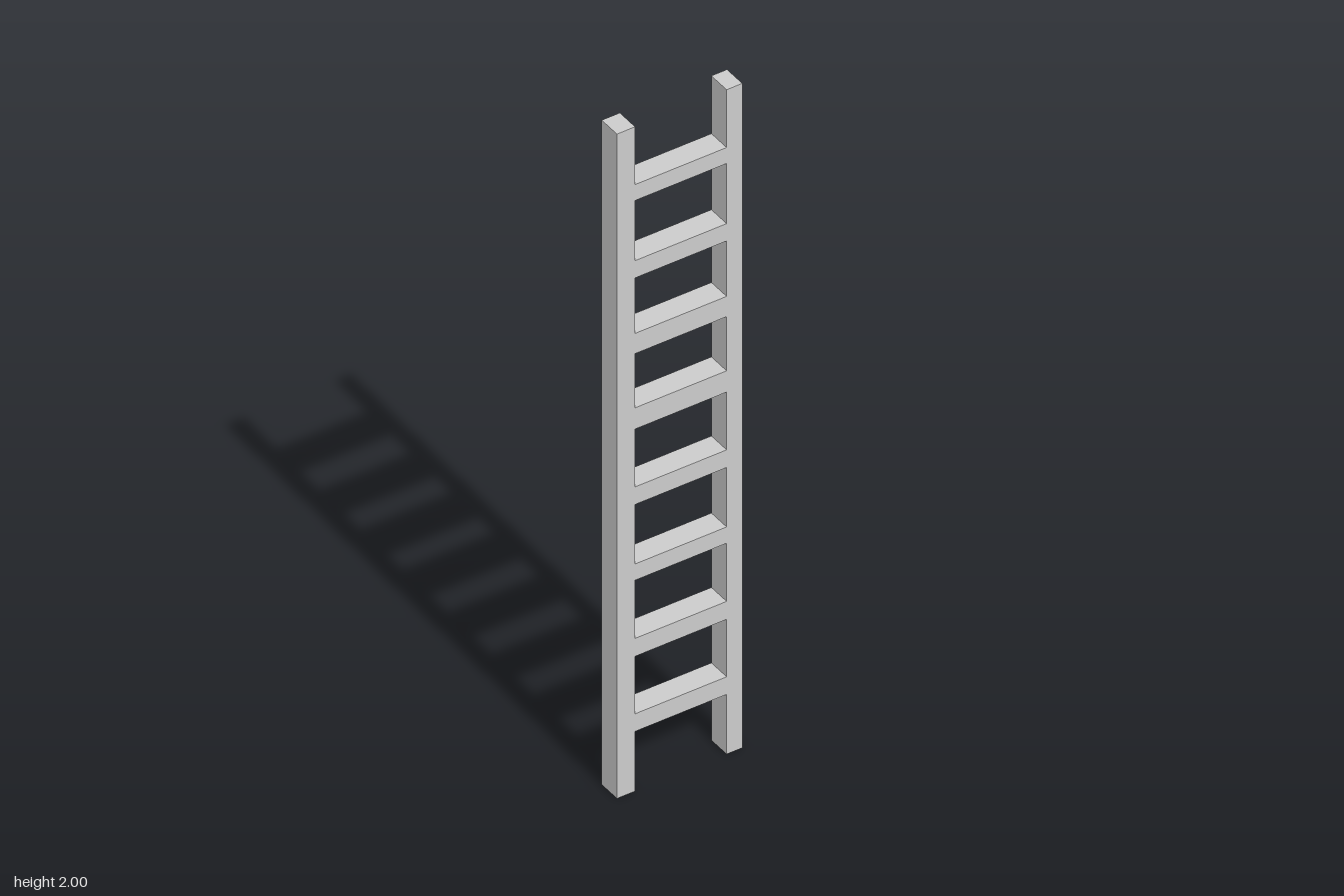
import * as THREE from 'three';

const HALF_W = 0.18, HEIGHT = 2, DEPTH = 0.066;
const INNER_L = -0.128, INNER_R = 0.135; // inner faces of the two rails

// [bottom, top] height of each rung
const RUNGS = [
  [0.18, 0.233], [0.406, 0.46], [0.635, 0.684], [0.863, 0.916],
  [1.09, 1.154], [1.317, 1.378], [1.545, 1.597], [1.778, 1.826],
];

export function createModel() {
  const group = new THREE.Group();
  group.name = 'ladder';

  // H-shaped outline: rails run past the lowest and highest rungs
  const low = RUNGS[0][0], high = RUNGS[RUNGS.length - 1][1];
  const outline = [
    [-HALF_W, 0], [INNER_L, 0], [INNER_L, low], [INNER_R, low], [INNER_R, 0], [HALF_W, 0],
    [HALF_W, HEIGHT], [INNER_R, HEIGHT], [INNER_R, high], [INNER_L, high], [INNER_L, HEIGHT], [-HALF_W, HEIGHT],
  ];
  const shape = new THREE.Shape(outline.map(([x, y]) => new THREE.Vector2(x, y)));

  // openings between neighbouring rungs
  for (let i = 0; i < RUNGS.length - 1; i++) {
    const y0 = RUNGS[i][1], y1 = RUNGS[i + 1][0];
    const corners = [[INNER_L, y0], [INNER_L, y1], [INNER_R, y1], [INNER_R, y0]];
    shape.holes.push(new THREE.Path(corners.map(([x, y]) => new THREE.Vector2(x, y))));
  }

  // rails and flush rungs as one solid
  const geometry = new THREE.ExtrudeGeometry(shape, { depth: DEPTH, bevelEnabled: false });
  geometry.translate(0, 0, -DEPTH / 2);
  const material = new THREE.MeshStandardMaterial({ color: 0xcccccc, flatShading: true });
  const frame = new THREE.Mesh(geometry, material);
  frame.name = 'railsAndRungs';
  group.add(frame);
  return group;
}
